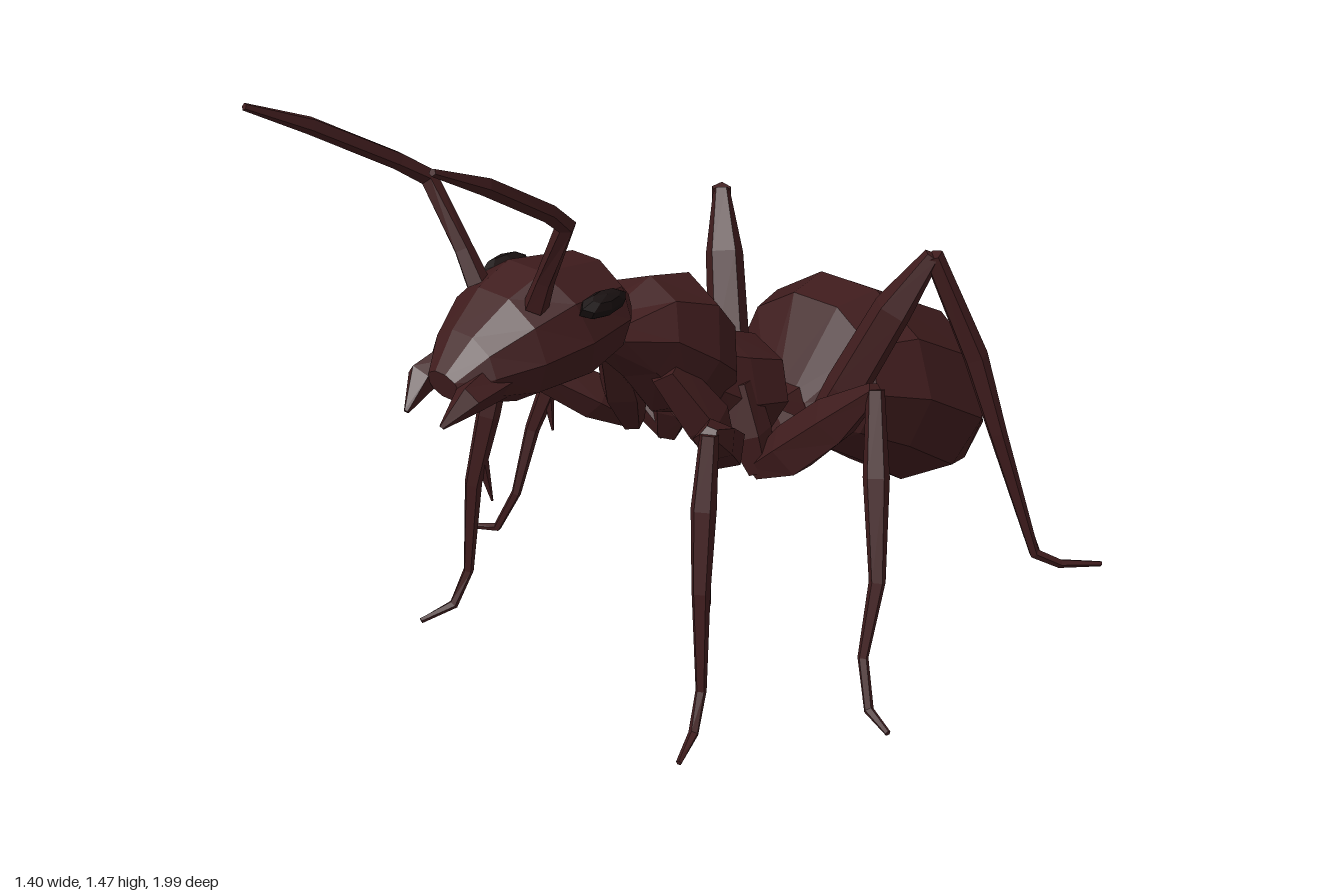
import * as THREE from 'three';

const shell = new THREE.MeshStandardMaterial({ color: 0x3f1c1d, flatShading: true });
const dark = new THREE.MeshStandardMaterial({ color: 0x181010, flatShading: true });
const V = (p) => new THREE.Vector3(...p);

// Joins rings of points into a closed, faceted skin
function loft(rings) {
  const n = rings[0].length;
  const out = [];
  const tri = (...c) => c.forEach((p) => out.push(p.x, p.y, p.z));
  for (let r = 0; r < rings.length - 1; r++) {
    const a = rings[r], b = rings[r + 1];
    for (let i = 0; i < n; i++) {
      const j = (i + 1) % n;
      tri(a[i], a[j], b[j]);
      tri(a[i], b[j], b[i]);
    }
  }
  const cap = (ring, flip) => {
    const c = ring.reduce((s, p) => s.add(p), new THREE.Vector3()).divideScalar(n);
    for (let i = 0; i < n; i++) {
      const j = (i + 1) % n;
      if (flip) tri(c, ring[j], ring[i]);
      else tri(c, ring[i], ring[j]);
    }
  };
  cap(rings[0], true);
  cap(rings[rings.length - 1], false);
  const g = new THREE.BufferGeometry();
  g.setAttribute('position', new THREE.Float32BufferAttribute(out, 3));
  g.computeVertexNormals();
  return g;
}

// Body segment, rear to front: each section is [top z, top y, bottom z, bottom y, half width]
function segment(name, sections, sides = 10) {
  const rings = sections.map(([zt, yt, zb, yb, w]) => {
    const ring = [];
    for (let i = 0; i < sides; i++) {
      const a = (i / sides) * Math.PI * 2;
      const t = (1 + Math.sin(a)) / 2;
      ring.push(new THREE.Vector3(Math.cos(a) * w, yb + (yt - yb) * t, zb + (zt - zb) * t));
    }
    return ring;
  });
  const m = new THREE.Mesh(loft(rings), shell);
  m.name = name;
  return m;
}

// Tapered limb through points [x, y, z, radius], mirrored by side
function limb(name, side, points, sides = 5) {
  const c = points.map((p) => new THREE.Vector3(p[0] * side, p[1], p[2]));
  const rings = c.map((p, k) => {
    const before = c[Math.max(k - 1, 0)], after = c[Math.min(k + 1, c.length - 1)];
    const d1 = p.clone().sub(before).normalize(), d2 = after.clone().sub(p).normalize();
    const t = d1.add(d2).normalize();
    const u = new THREE.Vector3(side, 0, 0.35);
    u.addScaledVector(t, -u.dot(t)).normalize();
    const v = t.clone().cross(u);
    return Array.from({ length: sides }, (_, i) => {
      const a = (side * i / sides) * Math.PI * 2;
      return p.clone().addScaledVector(u, Math.cos(a) * points[k][3]).addScaledVector(v, Math.sin(a) * points[k][3]);
    });
  });
  if (side < 0) rings.forEach((r) => r.reverse());
  const m = new THREE.Mesh(loft(rings), shell);
  m.name = name;
  return m;
}

// Leg parts: coxa, thick femur, thin shin with bent foot, and a spur
const LEGS = {
  front: {
    coxa: [[0.08, 0.74, 0.18, 0.045], [0.13, 0.6, 0.1, 0.06], [0.15, 0.48, 0.05, 0.03]],
    femur: [[0.14, 0.49, 0.05, 0.025], [0.2, 0.56, 0.12, 0.06], [0.28, 0.645, 0.23, 0.05], [0.325, 0.7, 0.3, 0.02]],
    shin: [[0.325, 0.7, 0.3, 0.022], [0.345, 0.54, 0.34, 0.03], [0.37, 0.36, 0.375, 0.022],
      [0.385, 0.12, 0.39, 0.013], [0.4, 0.035, 0.43, 0.012], [0.43, 0.012, 0.51, 0.007]],
    spur: [[0.36, 0.42, 0.355, 0.018], [0.355, 0.3, 0.33, 0.003]],
  },
  middle: {
    coxa: [[0.08, 0.62, -0.06, 0.05], [0.12, 0.5, -0.06, 0.06], [0.15, 0.41, -0.07, 0.035]],
    femur: [[0.14, 0.41, -0.07, 0.03], [0.23, 0.48, -0.09, 0.065], [0.34, 0.59, -0.11, 0.06], [0.455, 0.705, -0.11, 0.02]],
    shin: [[0.455, 0.705, -0.11, 0.022], [0.505, 0.52, -0.06, 0.032], [0.565, 0.3, 0, 0.02],
      [0.575, 0.13, 0.055, 0.013], [0.62, 0.025, 0.085, 0.012], [0.695, 0.01, 0.11, 0.007]],
    spur: [[0.535, 0.4, -0.03, 0.018], [0.52, 0.3, -0.03, 0.003]],
  },
  hind: {
    coxa: [[0.05, 0.46, -0.19, 0.05], [0.1, 0.42, -0.23, 0.065], [0.15, 0.41, -0.29, 0.04]],
    femur: [[0.13, 0.41, -0.28, 0.03], [0.19, 0.54, -0.34, 0.055], [0.27, 0.75, -0.41, 0.05], [0.335, 0.89, -0.47, 0.022]],
    shin: [[0.335, 0.89, -0.47, 0.025], [0.41, 0.62, -0.56, 0.032], [0.46, 0.42, -0.6, 0.024],
      [0.535, 0.07, -0.69, 0.014], [0.575, 0.03, -0.75, 0.012], [0.635, 0.01, -0.85, 0.007]],
    spur: [[0.52, 0.15, -0.67, 0.012], [0.53, 0.06, -0.72, 0.003]],
  },
};

export function createModel() {
  const ant = new THREE.Group();
  ant.name = 'ant';

  // Body, from the tail forwards
  ant.add(segment('abdomen', [
    [-1.0, 0.27, -0.985, 0.18, 0.09],
    [-0.957, 0.434, -0.887, 0.05, 0.2],
    [-0.866, 0.56, -0.716, 0.096, 0.285],
    [-0.58, 0.71, -0.55, 0.214, 0.285],
    [-0.45, 0.695, -0.405, 0.31, 0.225],
    [-0.34, 0.48, -0.33, 0.39, 0.08],
  ]));
  ant.add(segment('waist', [
    [-0.38, 0.5, -0.36, 0.39, 0.07],
    [-0.27, 0.5, -0.276, 0.345, 0.09],
    [-0.15, 0.5, -0.137, 0.39, 0.07],
  ], 6));
  ant.add(segment('rearThorax', [
    [-0.24, 0.5, -0.2, 0.42, 0.07],
    [-0.22, 0.67, -0.15, 0.42, 0.14],
    [-0.1, 0.72, -0.05, 0.43, 0.14],
    [-0.02, 0.74, 0.04, 0.52, 0.11],
  ], 8));
  ant.add(segment('frontThorax', [
    [-0.08, 0.72, 0, 0.52, 0.1],
    [-0.06, 0.81, 0.04, 0.55, 0.13],
    [0.013, 0.9, 0.14, 0.59, 0.155],
    [0.14, 0.93, 0.23, 0.71, 0.13],
    [0.28, 0.88, 0.33, 0.81, 0.08],
  ], 8));
  ant.add(segment('head', [
    [0.265, 0.96, 0.28, 0.87, 0.07],
    [0.34, 1.045, 0.34, 0.81, 0.135],
    [0.52, 1.075, 0.45, 0.785, 0.17],
    [0.61, 1.04, 0.6, 0.79, 0.15],
    [0.7, 0.975, 0.7, 0.82, 0.1],
    [0.765, 0.905, 0.75, 0.84, 0.05],
  ]));

  for (const side of [1, -1]) {
    const tag = side > 0 ? 'Left' : 'Right';

    // Eye
    const eye = new THREE.Mesh(new THREE.SphereGeometry(1, 8, 5), dark);
    eye.name = 'eye' + tag;
    eye.scale.set(0.028, 0.03, 0.068);
    eye.position.set(0.15 * side, 1.0, 0.44);
    eye.rotation.z = -0.5 * side;
    ant.add(eye);

    // Jaw and antenna
    ant.add(limb('jaw' + tag, side, [
      [0.06, 0.88, 0.66, 0.05], [0.075, 0.865, 0.755, 0.035], [0.055, 0.815, 0.815, 0.006],
    ]));
    ant.add(limb('antenna' + tag, side, [
      [0.09, 1.02, 0.575, 0.028], [0.125, 1.09, 0.58, 0.022], [0.208, 1.235, 0.595, 0.021],
      [0.225, 1.285, 0.66, 0.02], [0.26, 1.4, 0.85, 0.019], [0.28, 1.468, 0.99, 0.008],
    ]));

    // Legs
    for (const [kind, parts] of Object.entries(LEGS)) {
      const leg = new THREE.Group();
      leg.name = kind + 'Leg' + tag;
      for (const [part, points] of Object.entries(parts)) leg.add(limb(part, side, points));
      ant.add(leg);
    }
  }
  return ant;
}
